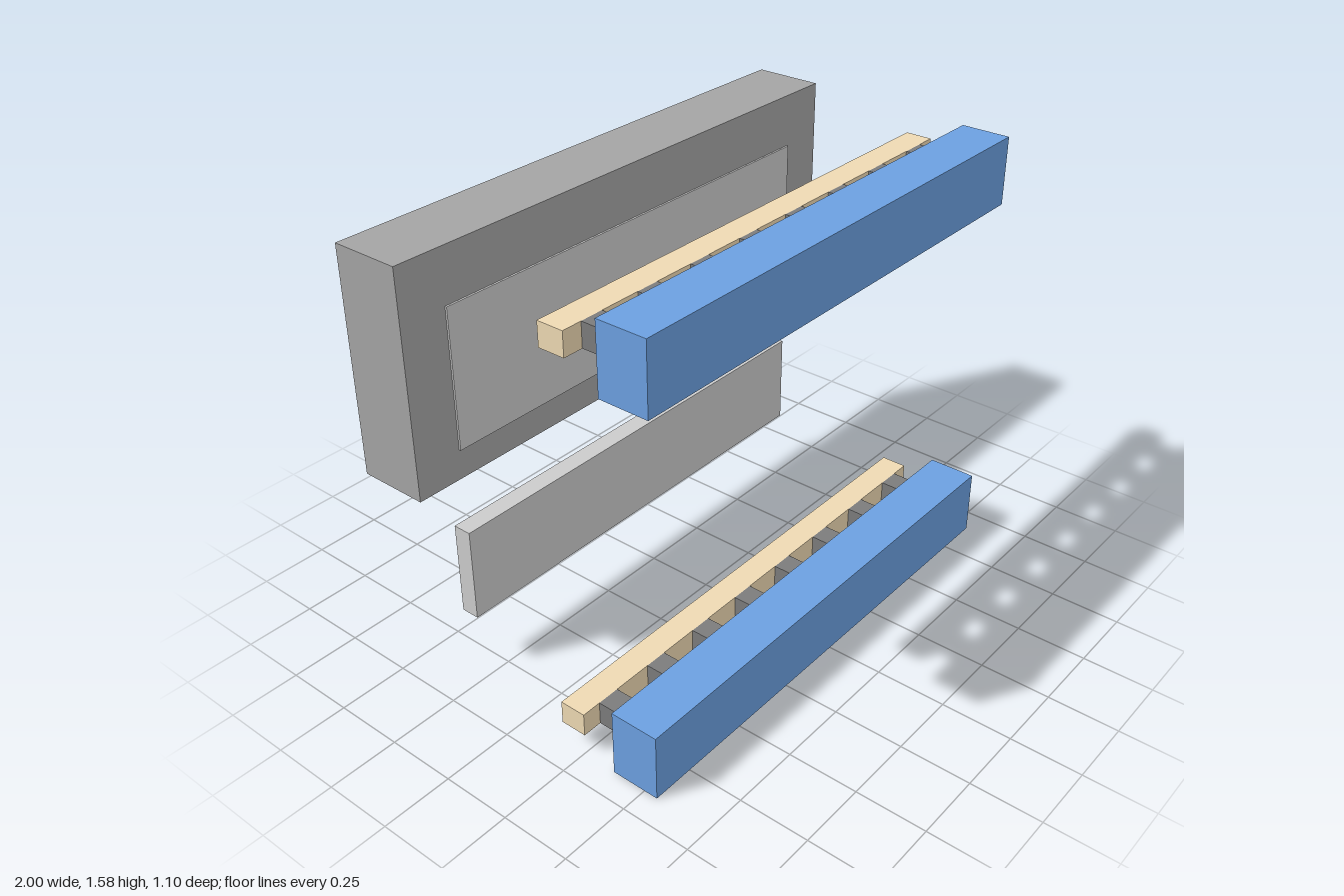
import * as THREE from 'three';

const material = (color) => new THREE.MeshStandardMaterial({ color });

// Box given by its min/max extents on each axis
function slab(name, [x0, x1], [y0, y1], [z0, z1], mat) {
  const mesh = new THREE.Mesh(new THREE.BoxGeometry(x1 - x0, y1 - y0, z1 - z0), mat);
  mesh.position.set((x0 + x1) / 2, (y0 + y1) / 2, (z0 + z1) / 2);
  mesh.name = name;
  return mesh;
}

export function createModel() {
  const model = new THREE.Group();
  model.name = 'explodedPanelAssembly';

  const blue = material(0x6ca0e0);
  const tan = material(0xeed9b3);
  const darkGrey = material(0x7c7c7c);
  const midGrey = material(0xa4a4a4);
  const lightGrey = material(0xcccccc);

  // Back board with a thin panel standing just proud of its front face
  model.add(slab('backBoard', [-1, 1], [0.765, 1.555], [-0.55, -0.3], midGrey));
  model.add(slab('inlaidPanel', [-0.83, 0.83], [0.87, 1.365], [-0.36, -0.293], lightGrey));

  // Loose lower panel
  model.add(slab('lowerPanel', [-0.83, 0.83], [0.217, 0.557], [-0.36, -0.293], lightGrey));

  // Rail: front beam, row of spacer blocks and rear strip
  function createRail(name, y) {
    const rail = new THREE.Group();
    rail.name = name;
    rail.position.y = y;
    rail.add(slab('frontBeam', [-0.905, 0.905], [0, 0.24], [0.375, 0.55], blue));
    rail.add(slab('rearStrip', [-0.905, 0.905], [0.08, 0.163], [0.16, 0.255], tan));
    const count = 8;
    for (let i = 0; i < count; i++) {
      const x = (i - (count - 1) / 2) * 0.2265;
      rail.add(slab('spacerBlock', [x - 0.041, x + 0.041], [0.08, 0.163], [0.255, 0.375], darkGrey));
    }
    return rail;
  }
  model.add(createRail('lowerRail', 0), createRail('upperRail', 1.34));

  return model;
}
